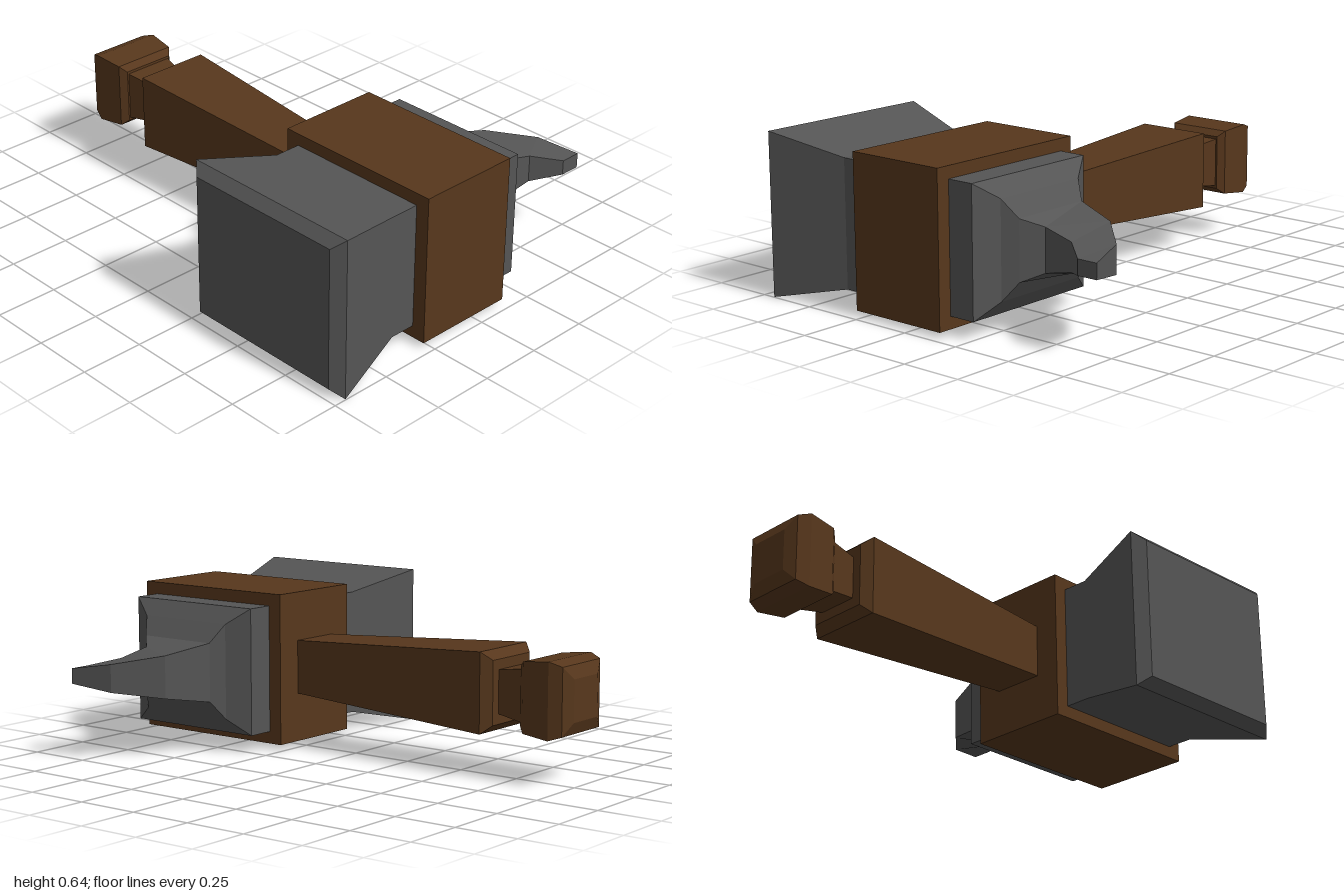
import * as THREE from 'three';

const CX = -0.068, CY = 0.322, CZ = 0.615; // handle x, shared y, head z

// Skin a run of four-cornered sections and cap both ends
function loft(sections) {
  const pos = [];
  const quad = (a, b, c, d) => pos.push(...a, ...b, ...c, ...a, ...c, ...d);
  for (let s = 0; s < sections.length - 1; s++) {
    const p = sections[s], q = sections[s + 1];
    for (let i = 0; i < 4; i++) {
      const j = (i + 1) % 4;
      quad(p[i], p[j], q[j], q[i]);
    }
  }
  const [a, b, c, d] = sections[0];
  quad(d, c, b, a);
  quad(...sections[sections.length - 1]);
  const geometry = new THREE.BufferGeometry();
  geometry.setAttribute('position', new THREE.Float32BufferAttribute(pos, 3));
  geometry.computeVertexNormals();
  return geometry;
}

// Section across x; the back and front edges may sit at different x
const slanted = ([xb, zb, hb, xf, zf, hf]) => [
  [xb, CY - hb, zb], [xb, CY + hb, zb], [xf, CY + hf, zf], [xf, CY - hf, zf],
];
const acrossX = ([x, hy, z0, z1]) => slanted([x, z0, hy, x, z1, hy]);

// Section across z for the handle parts
const acrossZ = ([z, hx, hy]) => [
  [CX - hx, CY - hy, z], [CX - hx, CY + hy, z], [CX + hx, CY + hy, z], [CX + hx, CY - hy, z],
];

export function createModel() {
  const group = new THREE.Group();
  const steel = new THREE.MeshStandardMaterial({ color: 0x555555, flatShading: true });
  const wood = new THREE.MeshStandardMaterial({ color: 0x57371c, flatShading: true });
  const add = (name, geometry, material) => {
    const mesh = new THREE.Mesh(geometry, material);
    mesh.name = name;
    group.add(mesh);
    return mesh;
  };

  // Steel head: flared striking face, square body, tapered shoulder, curved claw
  const body = [
    [-0.737, 0.282, 0.282, 0.952],
    [-0.698, 0.32, 0.237, 0.997],
    [-0.383, 0.25, 0.317, 0.913],
    [0.255, 0.25, 0.317, 0.913],
    [0.305, 0.187, 0.405, 0.82],
    [0.355, 0.116, 0.443, 0.78],
  ];
  const claw = [
    [0.54, 0.505, 0.084, 0.42, 0.716, 0.084],
    [0.688, 0.65, 0.055, 0.55, 0.728, 0.055],
    [0.735, 0.812, 0.03, 0.65, 0.812, 0.03],
  ];
  add('hammerHead', loft([...body.map(acrossX), ...claw.map(slanted)]), steel);

  // Wooden block around the head
  add('collar', new THREE.BoxGeometry(0.422, 0.596, 0.708), wood)
    .position.set(-0.066, CY, CZ);

  // Handle pieces, each running towards the back
  const handleParts = {
    grip: [[0.28, 0.105, 0.105], [-0.64, 0.154, 0.154], [-0.677, 0.122, 0.122]],
    neck: [[-0.67, 0.083, 0.082], [-0.795, 0.104, 0.1]],
    pommel: [
      [-0.79, 0.11, 0.11], [-0.815, 0.133, 0.133], [-0.93, 0.145, 0.145],
      [-0.98, 0.128, 0.128], [-1, 0.08, 0.08],
    ],
  };
  for (const [name, rows] of Object.entries(handleParts)) {
    add(name, loft(rows.map(acrossZ)), wood);
  }
  return group;
}
